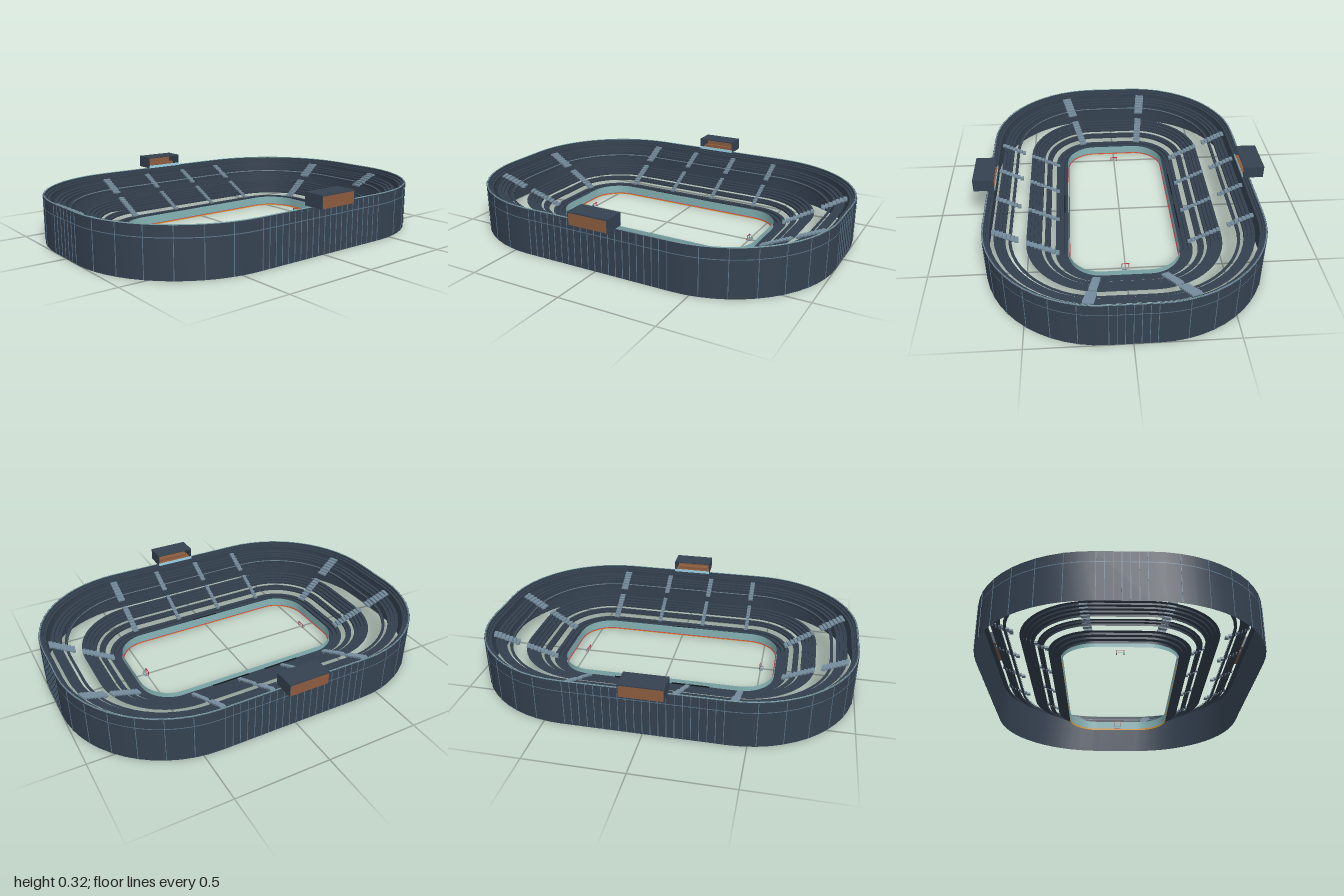
import * as THREE from 'three';

const HX = 0.41, HZ = 0.12; // half sizes of the core that every ring is offset from

const mat = (name, color, side = THREE.FrontSide) => {
  const m = new THREE.MeshStandardMaterial({ color, side });
  m.name = name;
  return m;
};

// points of a rounded rectangle at offset r from the core
function ringPath(r, corner = 14) {
  const pts = [];
  [[1, 1], [-1, 1], [-1, -1], [1, -1]].forEach(([sx, sz], q) => {
    for (let i = 0; i <= corner; i++) {
      const a = (q + i / corner) * Math.PI / 2;
      pts.push([sx * HX + r * Math.cos(a), sz * HZ + r * Math.sin(a)]);
    }
  });
  return pts;
}

// sweep a profile of [offset, height] points around the ring, sharp between profile segments
function sweep(profile) {
  const pos = [], idx = [];
  for (let k = 0; k < profile.length - 1; k++) {
    const [a, b] = [profile[k], profile[k + 1]];
    const pa = ringPath(a[0]), pb = ringPath(b[0]);
    const n = pa.length, base = pos.length / 3;
    for (let i = 0; i < n; i++) {
      pos.push(pa[i][0], a[1], pa[i][1], pb[i][0], b[1], pb[i][1]);
      const A = base + 2 * i, C = base + 2 * ((i + 1) % n);
      idx.push(A, C, A + 1, C, C + 1, A + 1);
    }
  }
  const g = new THREE.BufferGeometry();
  g.setAttribute('position', new THREE.Float32BufferAttribute(pos, 3));
  g.setIndex(idx);
  g.computeVertexNormals();
  return g;
}

// height of the seating slope at offset r
const slope = r => 0.03 + (r - 0.17) * 0.5;

export function createModel() {
  const D = THREE.DoubleSide;
  const M = {
    wall: mat('slate wall', 0x354251, D),
    seat: mat('dark slate seating', 0x333f4d, D),
    step: mat('pale slate steps', 0x748b9c),
    seam: mat('panel seam', 0x5d788e),
    glass: mat('pale teal glass', 0x86b4b6, D),
    blue: mat('light blue booth glass', 0x9ad2e6, D),
    kick: mat('orange kick plate', 0xe09a2c),
    red: mat('red line', 0xb8343c),
    wood: mat('brown panel', 0x8c5c3e),
    black: mat('black bench', 0x15191f),
  };
  const root = new THREE.Group();
  root.name = 'arena';
  const add = (parent, geo, material, name, x = 0, y = 0, z = 0) => {
    const m = new THREE.Mesh(geo, material);
    m.name = name;
    m.position.set(x, y, z);
    parent.add(m);
    return m;
  };
  const box = (parent, w, h, d, material, name, x, y, z) =>
    add(parent, new THREE.BoxGeometry(w, h, d), material, name, x, y, z);

  // rink boards around the open rink
  add(root, sweep([[0.166, 0], [0.166, 0.009]]), M.kick, 'kickPlate');
  add(root, sweep([[0.161, 0.007], [0.166, 0.009]]), M.red, 'boardLine');
  add(root, sweep([[0.167, 0], [0.167, 0.055]]), M.glass, 'boardGlass');

  // outer wall with a narrow rim and seams
  add(root, sweep([[0.578, 0.235], [0.578, 0.245], [0.59, 0.245], [0.59, 0]]), M.wall, 'outerWall');
  add(root, sweep([[0.591, 0.193], [0.591, 0.189]]), M.seam, 'wallSeam');
  add(root, sweep([[0.584, 0.246], [0.588, 0.246]]), M.step, 'rimLine');
  add(root, sweep([[0.582, 0.245], [0.582, 0.249]]), M.glass, 'rimRail');

  // stepped seating, in separate bands with open gaps between
  const bands = [[0.17, 0.235, 3], [0.26, 0.29, 2], [0.305, 0.38, 4],
    [0.45, 0.465, 1], [0.48, 0.535, 3], [0.555, 0.585, 2]];
  bands.forEach(([r0, r1, n], b) => {
    const profile = [[r0, slope(r0) - 0.012]];
    for (let i = 0; i < n; i++) {
      const a = r0 + (r1 - r0) * i / n, c = r0 + (r1 - r0) * (i + 1) / n;
      profile.push([a, slope(a)], [c, slope(a)]);
    }
    add(root, sweep(profile), M.seat, 'seatingBand' + (b + 1));
  });
  add(root, sweep([[0.449, 0.172], [0.449, 0.177]]), M.step, 'upperBowlRail');

  // half of the arena's fittings, repeated by a half turn
  const makeHalf = name => {
    const half = new THREE.Group();
    half.name = name;
    root.add(half);

    // stairs: core point, heading in degrees, width
    const aisles = [[-0.42, -HZ, -91, 0.03], [-0.15, -HZ, -90, 0.02], [0.112, -HZ, -90, 0.02],
      [0.378, -HZ, -90, 0.02], [-HX, -HZ, 188.5, 0.04], [-HX, -HZ + 0.24, 162, 0.04]];
    for (const [x, z, deg, w] of aisles) {
      const stair = new THREE.Group();
      stair.name = 'stairs';
      stair.position.set(x, 0, z);
      stair.rotation.y = -deg * Math.PI / 180;
      half.add(stair);
      for (const [r0, r1, n, k] of [[0.215, 0.38, 9, 1], [0.415, 0.545, 7, 1.3]]) {
        const d = (r1 - r0) / n;
        for (let i = 0; i < n; i++) {
          const r = r0 + (i + 0.5) * d;
          box(stair, d, 0.01, w * k, M.step, 'step', r, slope(r) + 0.001, 0);
        }
      }
    }

    // wall panel joints on the outer face
    const joint = (x, z, a) => {
      const m = box(half, 0.002, 0.243, 0.003, M.seam, 'wallJoint', x, 0.1225, z);
      m.rotation.y = -a;
    };
    const R = 0.5915;
    for (let x = -0.39; x < 0.4; x += 0.039) joint(x, HZ + R, Math.PI / 2);
    for (let z = -0.11; z < 0.12; z += 0.037) joint(HX + R, z, 0);
    for (const s of [1, -1]) {
      for (let i = 1; i < 7; i++) {
        const a = Math.PI / 2 * i / 7;
        joint(HX + R * Math.cos(a), s * (HZ + R * Math.sin(a)), s * a);
      }
    }

    // box seat booth, open toward the rink
    const booth = new THREE.Group();
    booth.name = 'booth';
    booth.position.set(0.015, 0.25, 0.725);
    half.add(booth);
    box(booth, 0.216, 0.006, 0.11, M.wood, 'boothFloor', 0, 0.003, 0);
    box(booth, 0.216, 0.055, 0.006, M.wood, 'boothBack', 0, 0.0335, 0.052);
    box(booth, 0.22, 0.006, 0.112, M.wall, 'boothRoof', 0, 0.063, 0);
    for (const s of [1, -1]) box(booth, 0.004, 0.062, 0.111, M.wall, 'boothSide', s * 0.108, 0.031, 0);
    box(booth, 0.22, 0.016, 0.002, M.blue, 'boothGlass', 0, 0.008, -0.057);
    box(booth, 0.18, 0.016, 0.02, M.wood, 'boothDesk', 0, 0.014, -0.01);

    // goal frame
    const goal = new THREE.Group();
    goal.name = 'goal';
    goal.position.set(0.495, 0, 0);
    half.add(goal);
    for (const s of [1, -1]) {
      box(goal, 0.003, 0.025, 0.003, M.red, 'goalPost', 0, 0.0125, s * 0.018);
      box(goal, 0.018, 0.003, 0.003, M.step, 'goalBaseSide', 0.009, 0.0025, s * 0.018);
      const brace = box(goal, 0.03, 0.002, 0.002, M.step, 'goalBrace', 0.009, 0.0135, s * 0.018);
      brace.rotation.z = -0.92;
    }
    box(goal, 0.003, 0.003, 0.039, M.red, 'crossbar', 0, 0.025, 0);
    box(goal, 0.003, 0.003, 0.039, M.step, 'goalBaseBack', 0.018, 0.0025, 0);
    return half;
  };
  makeHalf('frontHalf');
  makeHalf('backHalf').rotation.y = Math.PI;

  // rinkside benches
  for (const [x, w, z] of [[-0.16, 0.2, -0.31], [0.145, 0.21, -0.31], [-0.005, 0.15, 0.307]]) {
    box(root, w, 0.006, 0.005, M.black, 'bench', x, 0.044, z);
  }
  return root;
}
